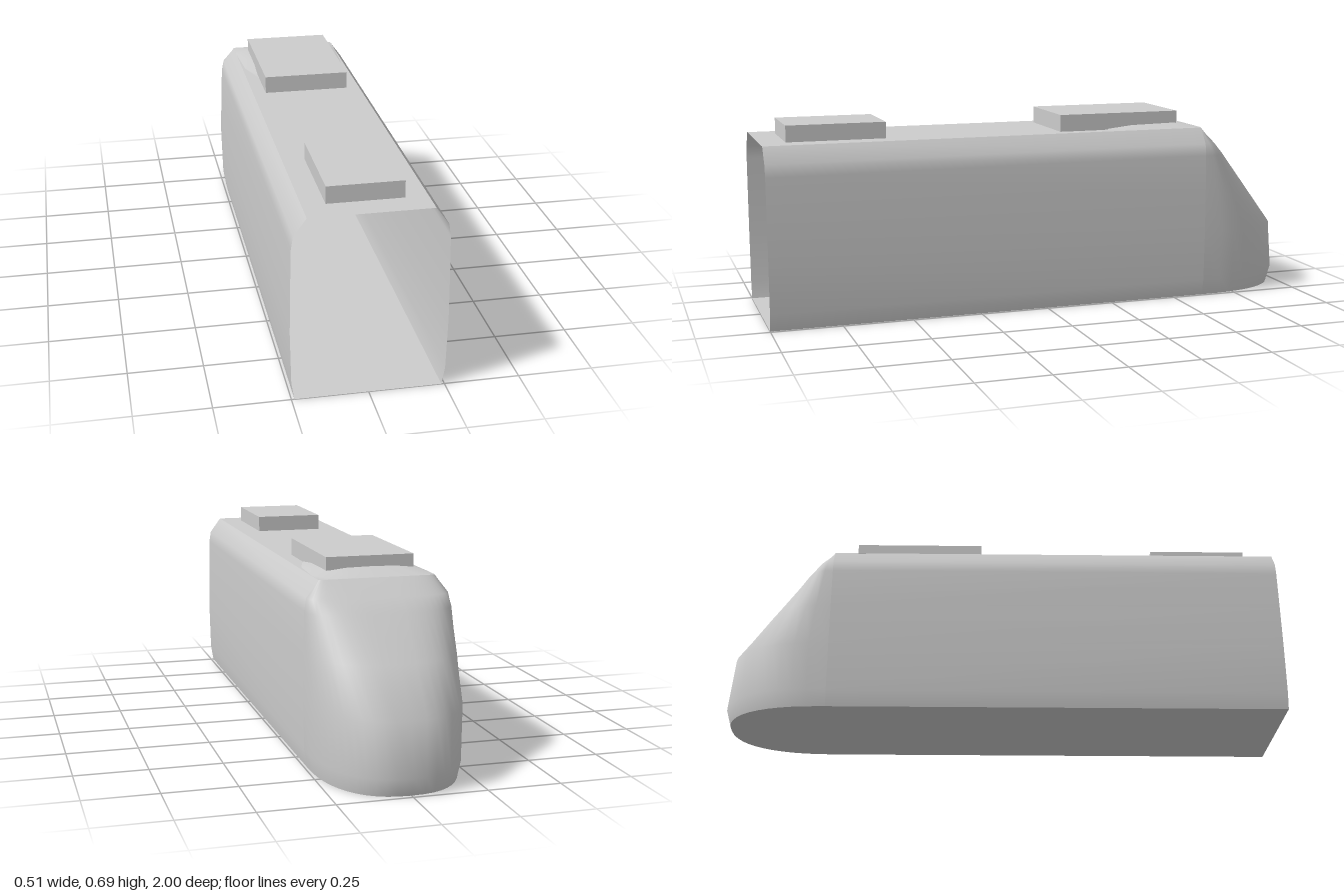
import * as THREE from 'three';

const shellGrey = new THREE.MeshStandardMaterial({ color: 0xcccccc, side: THREE.DoubleSide });
shellGrey.name = 'shell grey';

// Smooth surface through a list of rows of [x, y, z] points
function loft(rows) {
  const n = rows[0].length, index = [];
  for (let r = 0; r < rows.length - 1; r++)
    for (let c = 0; c < n - 1; c++) {
      const a = r * n + c, b = a + n;
      index.push(a, a + 1, b, a + 1, b + 1, b);
    }
  const g = new THREE.BufferGeometry();
  g.setAttribute('position', new THREE.Float32BufferAttribute(rows.flat(2), 3));
  g.setIndex(index);
  g.computeVertexNormals();
  return g;
}

const FRONT = 1, NOSE = -0.62, ROOF = 0.63;

// Levels up the shell: height, half width, nose reach in z, squareness of the plan
const levels = [
  [0, 0.24, -0.983, 2.4], [0.06, 0.25, -1, 2.4], [0.24, 0.254, -0.98, 2.5],
  [0.39, 0.252, -0.857, 2.7], [0.53, 0.249, -0.735, 2.9],
  [0.573, 0.242, -0.69, 3], [ROOF, 0.2, NOSE, 3],
];

// Rounded outline of the nose at one level, from +x round to -x
function nosePlan([y, w, tip, n], steps = 24) {
  const row = [];
  for (let i = 0; i <= steps; i++) {
    const a = (i / steps) * Math.PI, c = Math.cos(a), s = Math.max(0, Math.sin(a));
    row.push([w * Math.sign(c) * Math.abs(c) ** (2 / n), y, NOSE + (tip - NOSE) * s ** (2 / n)]);
  }
  return row;
}

export function createModel() {
  const group = new THREE.Group();
  const add = (name, geometry) => {
    const mesh = new THREE.Mesh(geometry, shellGrey);
    mesh.name = name;
    group.add(mesh);
    return mesh;
  };

  // Side walls, curving in to the roof
  for (const side of [1, -1])
    add(side > 0 ? 'leftWall' : 'rightWall',
      loft(levels.map(([y, w]) => [[side * w, y, FRONT], [side * w, y, NOSE]])));

  // Flat roof
  add('roof', loft([FRONT, NOSE].map(z => [[-0.2, ROOF, z], [0.2, ROOF, z]])));

  // Sloping rounded nose
  add('nose', loft(levels.map(l => nosePlan(l))));

  // Flat floor following the nose outline
  const outline = [[0.24, 0, FRONT], ...nosePlan(levels[0]), [-0.24, 0, FRONT]];
  const floor = new THREE.ShapeGeometry(new THREE.Shape(outline.map(p => new THREE.Vector2(p[0], -p[2]))));
  floor.rotateX(-Math.PI / 2);
  add('floor', floor);

  // Low fairing under the rear roof unit: z, half width, height
  const across = [[-1, 0], [-0.75, 0.65], [-0.4, 0.95], [0, 1], [0.4, 0.95], [0.75, 0.65], [1, 0]];
  const fairing = [[-0.2, 0.14, 0], [-0.36, 0.19, 0.025], [-0.53, 0.2, 0.026], [NOSE, 0.2, 0]];
  add('roofFairing', loft(fairing.map(([z, w, h]) => across.map(([u, k]) => [u * w, ROOF + h * k + 0.001, z]))));

  // Roof equipment boxes
  const box = (name, w, h, z0, z1) =>
    add(name, new THREE.BoxGeometry(w, h, z1 - z0)).position.set(0, ROOF + h / 2, (z0 + z1) / 2);
  box('frontRoofUnit', 0.25, 0.058, 0.56, 0.91);
  box('rearRoofUnit', 0.306, 0.061, -0.54, -0.08);

  return group;
}
